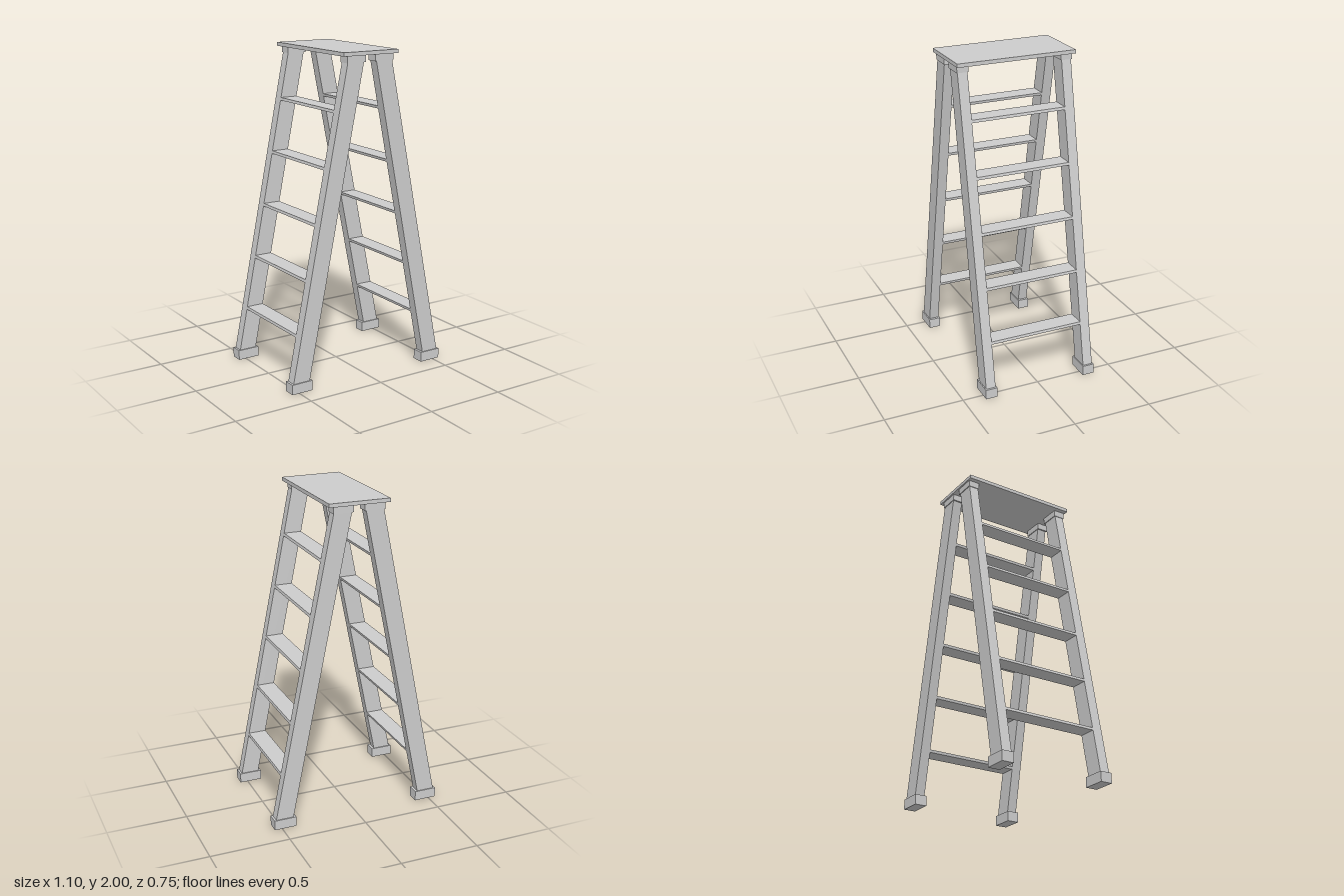
import * as THREE from 'three';

const slope = 0.2022;
const legCentre = (y) => 0.479 - slope * (y - 0.063);

// Box whose x position follows the lean of the legs
function leaningBox(width, y0, y1, depth, side) {
  const geo = new THREE.BoxGeometry(width, y1 - y0, depth);
  geo.translate(0, (y0 + y1) / 2, 0);
  const pos = geo.attributes.position;
  for (let i = 0; i < pos.count; i++) {
    pos.setX(i, pos.getX(i) + side * legCentre(pos.getY(i)));
  }
  geo.computeVertexNormals();
  return geo;
}

export function createModel() {
  const group = new THREE.Group();
  group.name = 'stepLadder';
  const grey = new THREE.MeshStandardMaterial({ color: 0xcccccc });
  grey.name = 'lightGrey';

  const add = (name, geo, x = 0, y = 0, z = 0) => {
    const mesh = new THREE.Mesh(geo, grey);
    mesh.name = name;
    mesh.position.set(x, y, z);
    group.add(mesh);
  };

  // Top platform
  add('topPlatform', new THREE.BoxGeometry(0.38, 0.023, 0.752), 0, 1.9885, 0);

  for (const side of [-1, 1]) {
    // Legs with a square foot and a small cap under the platform
    for (const end of [-1, 1]) {
      const z = end * 0.331;
      add('leg', leaningBox(0.112, 0.03, 1.977, 0.062, side), 0, 0, z);
      add('foot', new THREE.BoxGeometry(0.141, 0.062, 0.075), side * 0.4775, 0.031, z);
      add('legCap', new THREE.BoxGeometry(0.126, 0.04, 0.072), side * 0.097, 1.957, z);
    }
    // Five treads, flush with the edges of the legs
    for (let i = 0; i < 5; i++) {
      const y = 0.336 + i * 0.33;
      add('tread', leaningBox(0.112, y - 0.0085, y + 0.0085, 0.602, side));
    }
  }
  return group;
}
